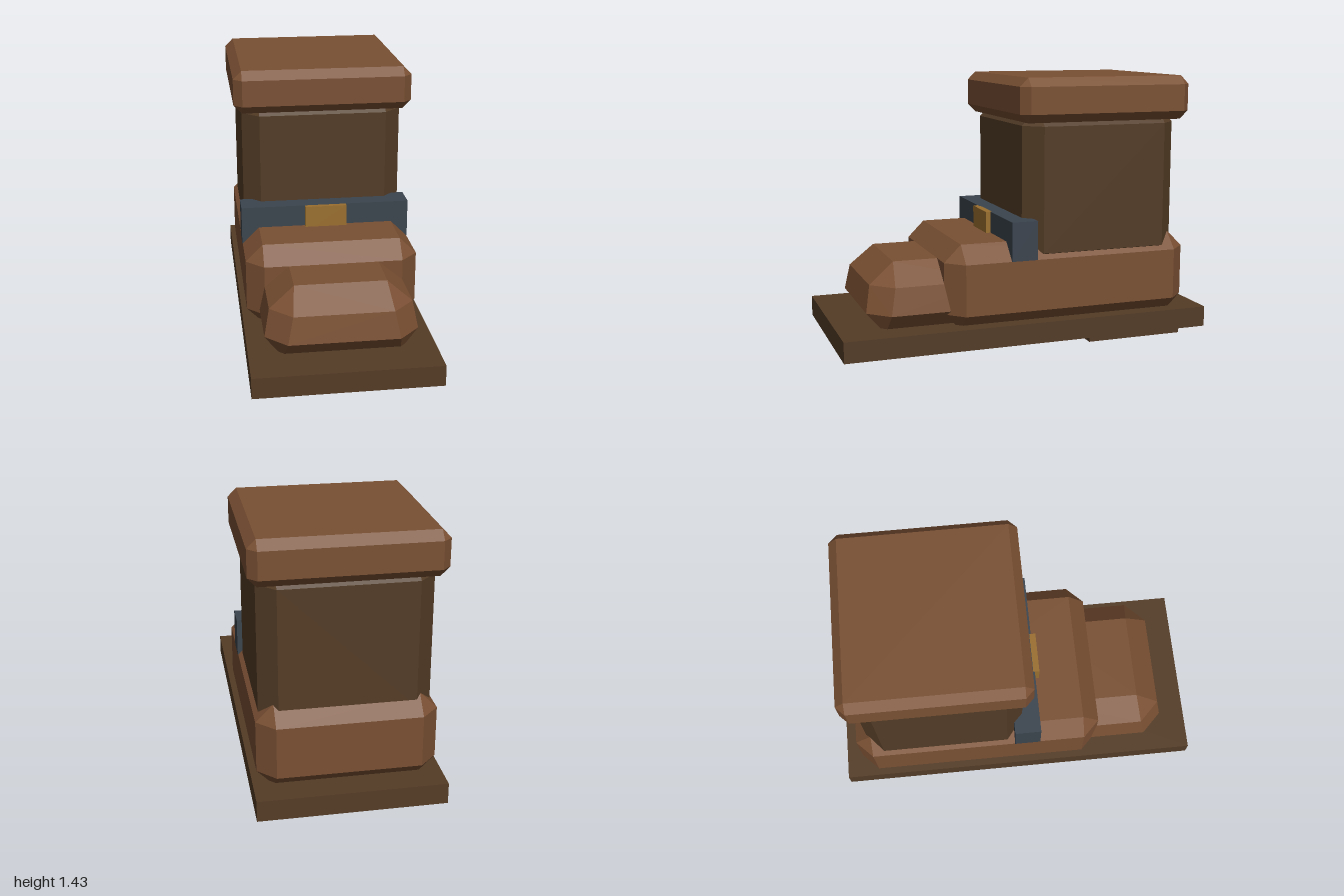
import * as THREE from 'three';
import { ConvexGeometry } from 'three/addons/geometries/ConvexGeometry.js';

const mat = (name, color) => new THREE.MeshStandardMaterial({ name, color, flatShading: true });

// Rectangle in plan at height y, with its corners cut by c
function ring(y, hw, z0, z1, c) {
  const pts = [];
  for (const s of [-1, 1]) {
    if (c === 0) {
      pts.push(new THREE.Vector3(s * hw, y, z0), new THREE.Vector3(s * hw, y, z1));
      continue;
    }
    pts.push(
      new THREE.Vector3(s * (hw - c), y, z0), new THREE.Vector3(s * hw, y, z0 + c),
      new THREE.Vector3(s * hw, y, z1 - c), new THREE.Vector3(s * (hw - c), y, z1));
  }
  return pts;
}

// Block with every edge and corner chamfered by c
function chamferBox(hw, y0, y1, z0, z1, c) {
  return new ConvexGeometry([
    ...ring(y0, hw - c, z0 + c, z1 - c, 0),
    ...ring(y0 + c, hw, z0, z1, c),
    ...ring(y1 - c, hw, z0, z1, c),
    ...ring(y1, hw - c, z0 + c, z1 - c, 0),
  ]);
}

function box(hw, y0, y1, z0, z1) {
  return new THREE.BoxGeometry(hw * 2, y1 - y0, z1 - z0)
    .translate(0, (y0 + y1) / 2, (z0 + z1) / 2);
}

export function createModel() {
  const leather = mat('brown leather', 0x7a5033);
  const dark = mat('dark leather', 0x543c26);
  const steel = mat('dark steel strap', 0x3b444e);
  const brass = mat('brass', 0x9a6f2f);

  const group = new THREE.Group();
  group.name = 'boot';
  const add = (name, geometry, material) => {
    const mesh = new THREE.Mesh(geometry, material);
    mesh.name = name;
    group.add(mesh);
  };

  // Sole and heel
  add('heel', box(0.362, 0, 0.06, -0.905, -0.362), dark);
  add('sole', box(0.476, 0.06, 0.17, -1, 1), dark);

  // Foot and tapered toe cap
  add('foot', chamferBox(0.453, 0.14, 0.59, -0.905, 0.455, 0.09), leather);
  add('toeCap', new ConvexGeometry([
    ...ring(0.14, 0.3, 0.11, 0.75, 0),
    ...ring(0.25, 0.39, 0.025, 0.845, 0.108),
    ...ring(0.39, 0.363, 0.05, 0.82, 0.11),
    ...ring(0.5, 0.235, 0.18, 0.69, 0),
  ]), leather);

  // Shaft and cuff
  add('shaft', chamferBox(0.432, 0.435, 1.275, -0.84, 0.025, 0.09), dark);
  add('cuff', chamferBox(0.477, 1.205, 1.435, -0.885, 0.07, 0.045), leather);

  // Ankle strap and buckle
  add('strap', box(0.455, 0.5, 0.705, -0.023, 0.118), steel);
  add('buckle', box(0.112, 0.56, 0.705, 0.11, 0.144), brass);

  return group;
}
